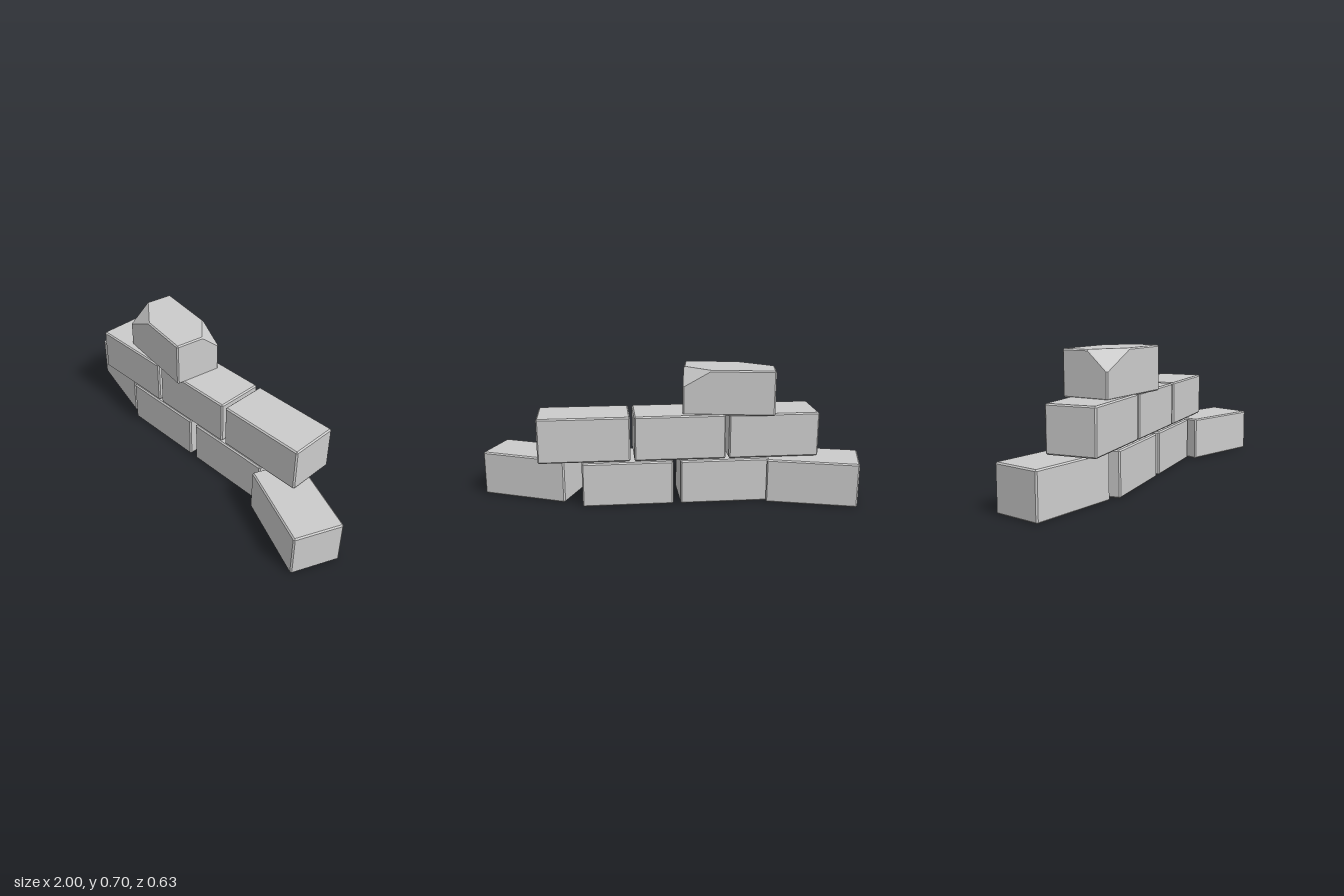
import * as THREE from 'three';
import { ConvexGeometry } from 'three/addons/geometries/ConvexGeometry.js';

const LENGTH = 0.47, HEIGHT = 0.233, DEPTH = 0.255, BEVEL = 0.007;

// Bevelled block; cuts maps a corner such as '-1,1,1' to the x, y, z lengths chipped off it
function blockGeometry(cuts = {}) {
  const half = [LENGTH / 2, HEIGHT / 2, DEPTH / 2];
  const points = [];
  for (const sx of [-1, 1]) for (const sy of [-1, 1]) for (const sz of [-1, 1]) {
    const sign = [sx, sy, sz];
    const cut = cuts[sign.join()];
    const add = (inset) =>
      points.push(new THREE.Vector3(...sign.map((s, i) => s * (half[i] - inset[i]))));
    for (let a = 0; a < 3; a++) {
      const b = (a + 1) % 3, c = (a + 2) % 3;
      if (!cut) {
        const inset = [BEVEL, BEVEL, BEVEL];
        inset[a] = 0;
        add(inset);
      } else {
        // two points, one on each side of the bevelled edge
        for (const [p, q] of [[b, c], [c, b]]) {
          const inset = [0, 0, 0];
          inset[a] = cut[a];
          inset[p] = BEVEL;
          inset[q] = 0;
          add(inset);
        }
      }
    }
  }
  return new ConvexGeometry(points);
}

export function createModel() {
  const wall = new THREE.Group();
  wall.name = 'brickWall';
  const stone = new THREE.MeshStandardMaterial({ color: 0xcccccc, flatShading: true });
  const plain = blockGeometry();
  const chipped = blockGeometry({ '-1,1,1': [0.19, 0.1, 0.11], '1,1,-1': [0.14, 0.085, 0.1] });

  const addBrick = (name, geometry, x, bottom, z, turn = 0) => {
    const brick = new THREE.Mesh(geometry, stone);
    brick.name = name;
    brick.position.set(x, bottom + HEIGHT / 2, z);
    brick.rotation.y = turn;
    wall.add(brick);
  };

  // bottom course, with both end bricks knocked askew
  addBrick('bottomEndBrickRight', plain, -0.738, 0, -0.138, -0.27);
  addBrick('bottomBrickRight', plain, -0.268, 0, -0.048);
  addBrick('bottomBrickLeft', plain, 0.24, 0, -0.048);
  addBrick('bottomEndBrickLeft', plain, 0.735, 0, 0.105, -0.405);

  // middle course
  [-0.517, -0.03, 0.46].forEach((x, i) =>
    addBrick('middleBrick' + (i + 1), plain, x, 0.24, -0.048));

  // loose chipped brick on top
  addBrick('topChippedBrick', chipped, -0.297, 0.468, -0.05, -0.16);

  return wall;
}
